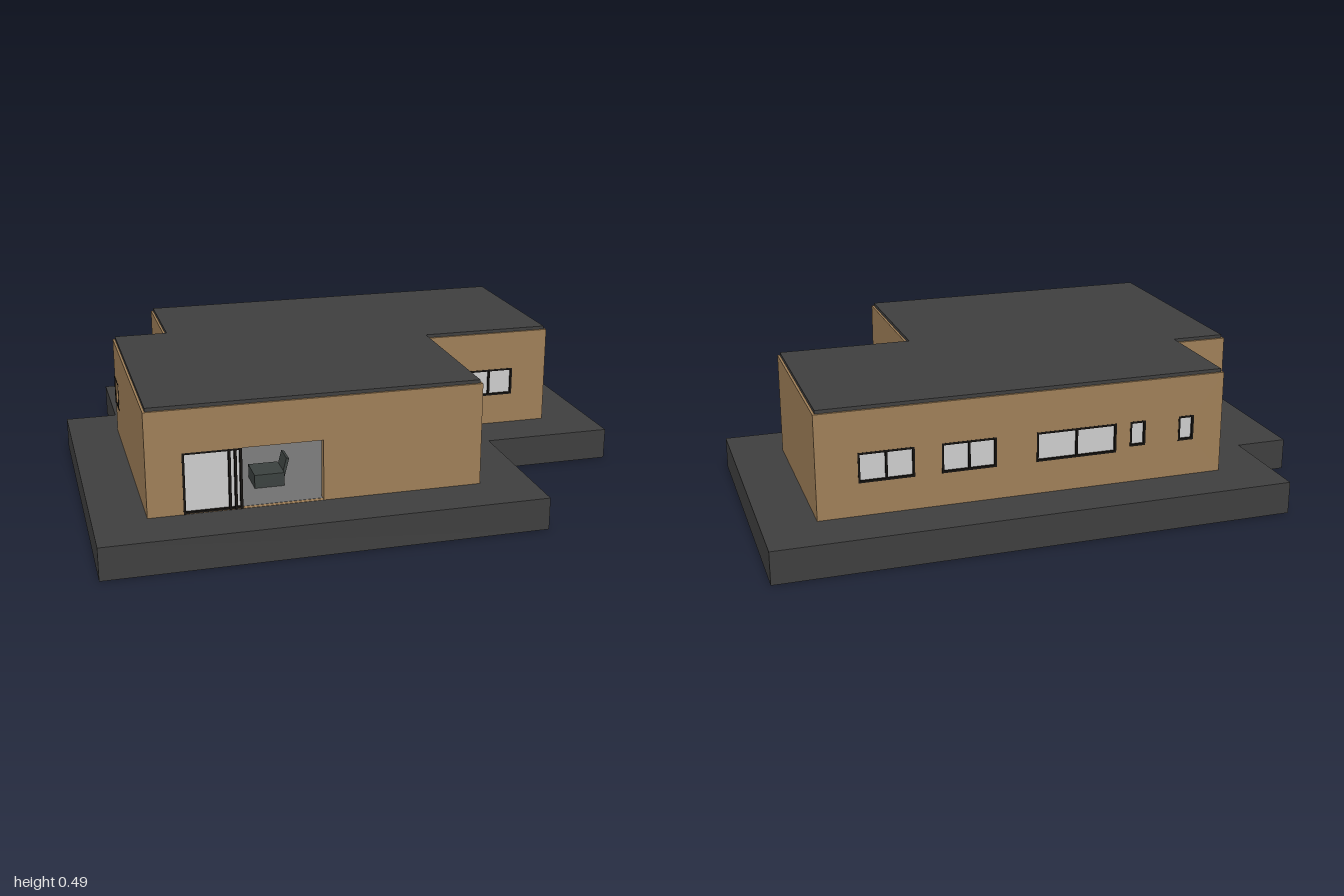
import * as THREE from 'three';

const mat = (color, side = THREE.FrontSide) => new THREE.MeshStandardMaterial({ color, side });
const WALL = mat(0x9e7e57), DARK = mat(0x3e3e3e), FRAME = mat(0x14110e), GLASS = mat(0xcccccc);
const FLOOR = mat(0x707070), WOOD = mat(0x331f14), FABRIC = mat(0x5e6052), CHAIR = mat(0x3a403e);
const BASE = 0.115, TOP = 0.48, T = 0.03;

function add(parent, name, geometry, material) {
  const m = new THREE.Mesh(geometry, material);
  m.name = name;
  parent.add(m);
  return m;
}

// Box given by its minimum and maximum corners
function box(parent, name, material, [x0, y0, z0], [x1, y1, z1]) {
  const m = add(parent, name, new THREE.BoxGeometry(x1 - x0, y1 - y0, z1 - z0), material);
  m.position.set((x0 + x1) / 2, (y0 + y1) / 2, (z0 + z1) / 2);
  return m;
}

// Horizontal plate from a plan outline of [x, z] points
function plate(parent, name, points, y0, y1, material) {
  const shape = new THREE.Shape(points.map(([x, z]) => new THREE.Vector2(x, -z)));
  const g = new THREE.ExtrudeGeometry(shape, { depth: y1 - y0, bevelEnabled: false });
  g.rotateX(-Math.PI / 2);
  g.translate(0, y0, 0);
  return add(parent, name, g, material);
}

// Frame, glass and evenly spaced mullions in a wall opening
function windowUnit(parent, u0, u1, y0, y1, panes) {
  const g = new THREE.Group(), f = 0.007;
  g.name = 'window';
  parent.add(g);
  box(g, 'glass', GLASS, [u0, y0, -0.02], [u1, y1, -0.008]);
  for (let i = 0; i <= panes; i++) {
    const c = u0 + f / 2 + (u1 - u0 - f) * i / panes;
    box(g, 'windowUpright', FRAME, [c - f / 2, y0, -T], [c + f / 2, y1, 0.001]);
  }
  box(g, 'windowSill', FRAME, [u0, y0, -T], [u1, y0 + f, 0.001]);
  box(g, 'windowHead', FRAME, [u0, y1 - f, -T], [u1, y1, 0.001]);
}

// Wall from a to b with its outer face on local +z; openings are [u0, u1, y0, y1, panes]
function wall(parent, name, a, b, openings = []) {
  const g = new THREE.Group(), dx = b[0] - a[0], dz = b[1] - a[1], L = Math.hypot(dx, dz);
  g.name = name;
  g.position.set(a[0], 0, a[1]);
  g.rotation.y = Math.atan2(-dz, dx);
  parent.add(g);
  const rect = (P, u0, u1, y0, y1) =>
    new P([[u0, y0], [u1, y0], [u1, y1], [u0, y1]].map(p => new THREE.Vector2(...p)));
  const shape = rect(THREE.Shape, 0, L, BASE, TOP);
  for (const [u0, u1, y0, y1, panes] of openings) {
    shape.holes.push(rect(THREE.Path, u0, u1, y0, y1));
    if (panes) windowUnit(g, u0, u1, y0, y1, panes);
  }
  const geo = new THREE.ExtrudeGeometry(shape, { depth: T, bevelEnabled: false });
  geo.translate(0, 0, -T);
  add(g, name + 'Panel', geo, WALL);
  return g;
}

export function createModel() {
  const model = new THREE.Group();
  model.name = 'house';

  // Stepped foundation
  plate(model, 'foundation', [[-1, 0.81], [0.52, 0.81], [0.52, 0.235], [1, 0.235],
    [1, -0.81], [-0.81, -0.81], [-0.81, -0.43], [-1, -0.43]], 0, BASE, DARK);

  // Wall outline, counterclockwise from the front right corner
  const plan = [[-0.82, 0.625], [0.335, 0.625], [0.335, 0.05], [0.815, 0.05],
    [0.815, -0.63], [-0.625, -0.63], [-0.625, -0.25], [-0.82, -0.25]];
  const back = (x0, x1, y0, y1, n) => [0.815 - x0, 0.815 - x1, y0, y1, n];
  const LOW = 0.23, HIGH = 0.335, DOOR = BASE + 0.001;
  const walls = [
    ['frontWall', [[0.12, 0.595, DOOR, 0.33, 0]]],
    ['entranceWall', [[0.105, 0.275, 0.25, 0.325, 2], [0.33, 0.415, DOOR, 0.33, 0]]],
    ['frontWingWall', [[0.155, 0.345, LOW, HIGH, 2]]],
    ['leftWall', []],
    ['backWall', [back(0.675, 0.485, LOW, HIGH, 2), back(0.393, 0.203, LOW, HIGH, 2),
      back(0.062, -0.228, LOW, HIGH, 2), back(-0.278, -0.336, 0.245, HIGH, 1),
      back(-0.46, -0.518, 0.245, HIGH, 1)]],
    ['notchSideWall', []],
    ['notchBackWall', [[0.025, 0.19, LOW, HIGH, 2]]],
    ['rightWall', [[0.005, 0.11, LOW, HIGH, 1]]],
  ];
  walls.forEach(([name, openings], i) =>
    wall(model, name, plan[i], plan[(i + 1) % plan.length], openings));
  box(model, 'cornerWindowPost', FRAME, [-0.822, LOW, -0.252], [-0.808, HIGH, -0.238]);

  // Roof and floor, set slightly inside the wall outline
  const inset = d => plan.map(([x, z], i) => {
    const sx = i === 0 || i > 4 ? 1 : -1, sz = i < 4 ? -1 : 1;
    return [x + sx * d, z + sz * d];
  });
  plate(model, 'roof', inset(0.008), TOP, 0.492, DARK);
  plate(model, 'floor', inset(0.015), BASE, BASE + 0.002, FLOOR);

  // Sliding door, pushed open to one side
  const sliding = new THREE.Group();
  sliding.name = 'slidingDoor';
  model.add(sliding);
  box(sliding, 'doorGlass', GLASS, [-0.7, BASE, 0.606], [-0.502, 0.33, 0.614]);
  for (const x of [-0.7, -0.547, -0.527, -0.509])
    box(sliding, 'doorUpright', FRAME, [x, BASE, 0.596], [x + 0.008, 0.33, 0.626]);
  for (const y of [BASE, 0.323])
    box(sliding, 'doorRail', FRAME, [-0.7, y, 0.597], [-0.5, y + 0.007, 0.624]);

  // Furniture in the living room
  box(model, 'table', CHAIR, [-0.43, BASE, 0.36], [-0.325, 0.165, 0.47]);
  box(model, 'sofaSeat', FABRIC, [-0.63, BASE, 0.28], [-0.5, 0.16, 0.5]);
  box(model, 'sofaBack', FABRIC, [-0.65, BASE, 0.28], [-0.62, 0.21, 0.5]);
  for (const [x, tilt] of [[-0.492, 0.12], [-0.318, -0.25]]) {
    const backrest = box(model, 'chairBack', CHAIR,
      [x - 0.005, 0.13, 0.37], [x + 0.005, 0.21, 0.45]);
    backrest.rotation.z = tilt;
  }

  // Hall cupboards behind the entrance
  box(model, 'hallCabinet', WOOD, [0.14, BASE, 0.25], [0.2, 0.23, 0.32]);
  box(model, 'wardrobe', WOOD, [0, BASE, 0.1], [0.3, 0.32, 0.2]);
  box(model, 'hallBench', FABRIC, [0.08, BASE, 0.205], [0.14, 0.21, 0.25]);
  return model;
}
